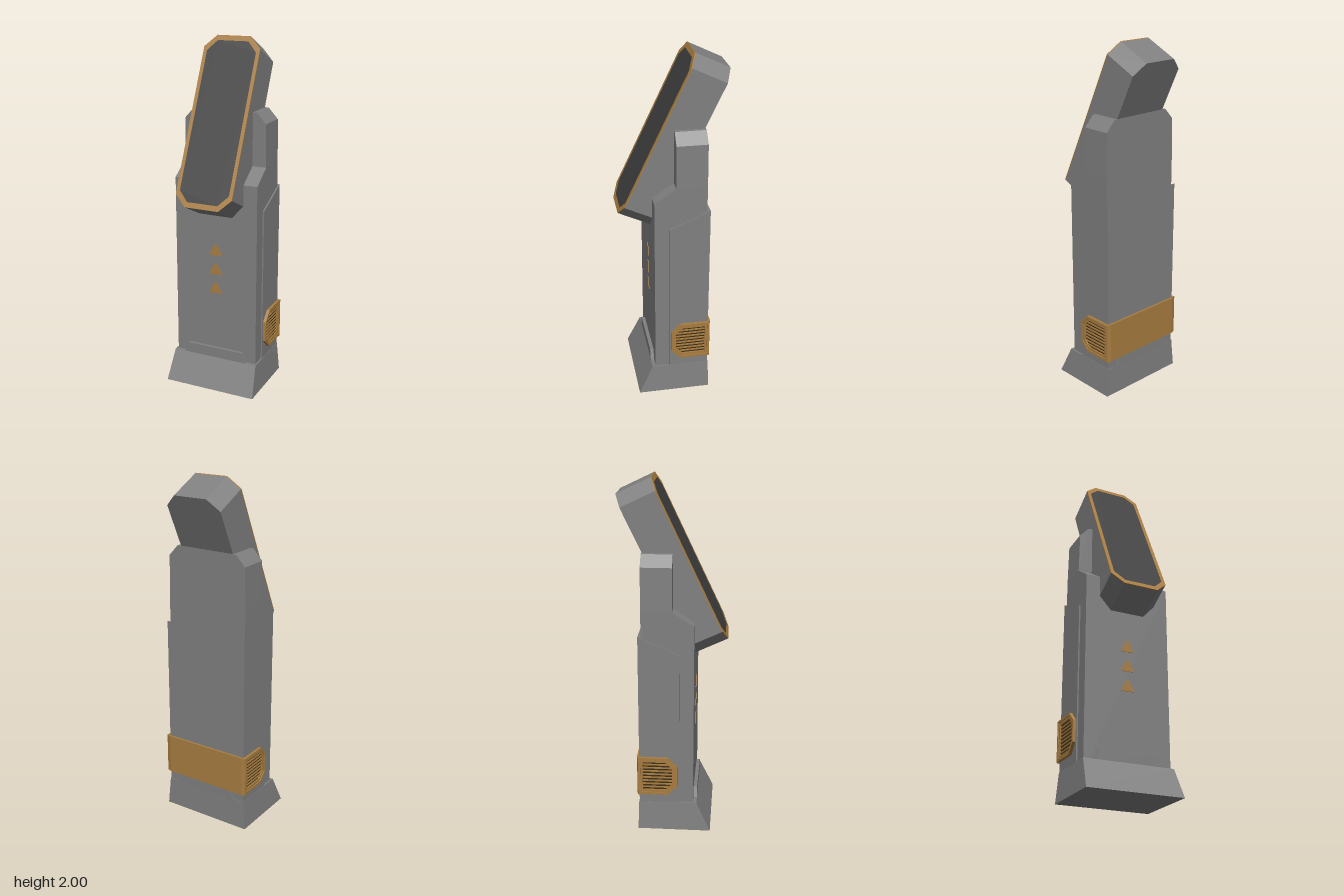
import * as THREE from 'three';

const mat = (name, color) => {
  const m = new THREE.MeshStandardMaterial({ color });
  m.name = name;
  return m;
};

const shapeOf = (points) => new THREE.Shape(points.map(([x, y]) => new THREE.Vector2(x, y)));

// Extrude a front-facing (x, y) outline between two depths
function slab(points, zBack, zFront, hole) {
  const shape = shapeOf(points);
  if (hole) shape.holes.push(shapeOf(hole));
  const geo = new THREE.ExtrudeGeometry(shape, { depth: zFront - zBack, bevelEnabled: false });
  return geo.translate(0, 0, zBack);
}

// Extrude a side (z, y) outline between two x positions
function sideSlab(points, x0, x1, hole) {
  return slab(points, -x1, -x0, hole).rotateY(-Math.PI / 2);
}

// Tall octagon with half sizes w, h and corner cuts cx, cy
const octagon = (w, h, cx, cy) => [
  [w - cx, -h], [w, -h + cy], [w, h - cy], [w - cx, h],
  [-w + cx, h], [-w, h - cy], [-w, -h + cy], [-w + cx, -h],
];

export function createModel() {
  const grey = mat('grey metal', 0x808080);
  const amber = mat('amber trim', 0xa87d40);
  const black = mat('dark screen', 0x404040);
  const brown = mat('dark vent', 0x3c2e18);

  const model = new THREE.Group();
  model.name = 'kiosk';
  const add = (name, geo, material, parent = model) => {
    const mesh = new THREE.Mesh(geo, material);
    mesh.name = name;
    parent.add(mesh);
    return mesh;
  };

  // Flared base
  const baseGeo = new THREE.BoxGeometry(1, 0.17, 1).toNonIndexed();
  const pos = baseGeo.attributes.position;
  for (let i = 0; i < pos.count; i++) {
    const top = pos.getY(i) > 0;
    const half = top ? 0.26 : 0.275;
    const front = top ? 0.15 : 0.23;
    const back = top ? -0.18 : -0.185;
    pos.setXYZ(i, Math.sign(pos.getX(i)) * half, top ? 0.17 : 0, pos.getZ(i) > 0 ? front : back);
  }
  baseGeo.computeVertexNormals();
  add('base', baseGeo, grey);

  // Raised tabs on the base, front and back
  const tab = [[-0.195, 0.165], [0.195, 0.165], [0.17, 0.23], [-0.17, 0.23]];
  add('frontTab', slab(tab, 0.12, 0.15), grey);
  add('backTab', slab(tab, -0.182, -0.16), grey);

  // Column, with a sloped ledge in front of the shoulders
  add('column', sideSlab(
    [[-0.16, 0.1], [0.13, 0.1], [0.13, 1.23], [0.01, 1.31], [-0.16, 1.31]], -0.25, 0.25), grey);
  add('shoulders', slab(
    [[-0.25, 1.31], [0.25, 1.31], [0.245, 1.55], [0.19, 1.61], [-0.19, 1.61], [-0.245, 1.55]],
    -0.16, 0.01), grey);

  // Shell wrapped around the back
  add('backShell', sideSlab(
    [[-0.177, 0.1], [0.05, 0.1], [0.05, 1.07], [-0.177, 1.17]], -0.258, 0.258), grey);

  // Tilted display head
  const head = new THREE.Group();
  head.name = 'head';
  head.position.set(0, 1.515, 0.005);
  head.rotation.x = -0.445;
  model.add(head);
  const outer = octagon(0.168, 0.487, 0.068, 0.068);
  const inner = octagon(0.147, 0.457, 0.056, 0.06);
  add('headShell', slab(outer, -0.105, 0.1), grey, head);
  add('screenFrame', slab(outer, 0.1, 0.106, inner), amber, head);
  add('screen', slab(inner, 0.1, 0.105), black, head);

  // Arrow marks up the front
  for (const y of [0.57, 0.685, 0.8]) {
    add('arrowMark', slab(
      [[-0.04, y], [0.04, y], [0.008, y + 0.063], [-0.008, y + 0.063]], 0.128, 0.133), amber);
  }

  // Amber band across the back, with tapered ends
  add('backBand', slab(
    [[-0.275, 0.17], [0.275, 0.17], [0.275, 0.183], [0.25, 0.19], [-0.25, 0.19], [-0.275, 0.183]],
    0.222, 0.455).rotateX(-Math.PI / 2).scale(1, 1, 1), amber);

  // Vents at both ends of the band
  const ventOuter = [[-0.183, 0.225], [-0.015, 0.225], [0.04, 0.28], [0.04, 0.4], [-0.015, 0.455], [-0.183, 0.455]];
  const ventMid = [[-0.17, 0.239], [-0.02, 0.239], [0.027, 0.286], [0.027, 0.394], [-0.02, 0.441], [-0.17, 0.441]];
  const ventInner = [[-0.157, 0.254], [-0.026, 0.254], [0.012, 0.292], [0.012, 0.388], [-0.026, 0.426], [-0.157, 0.426]];
  for (const side of [-1, 1]) {
    const span = (points, a, b, hole) =>
      side > 0 ? sideSlab(points, a, b, hole) : sideSlab(points, -b, -a, hole);
    add('ventRim', span(ventOuter, 0.25, 0.275, ventMid), amber);
    add('ventStep', span(ventMid, 0.25, 0.27, ventInner), amber);
    add('ventBack', span(ventMid, 0.25, 0.261), brown);
    for (let i = 0; i < 8; i++) {
      const y = 0.27 + i * 0.02;
      const front = 0.012 - Math.max(0, Math.abs(y - 0.34) - 0.048);
      const slat = [[-0.157, y - 0.004], [front, y - 0.004], [front, y + 0.004], [-0.157, y + 0.004]];
      add('ventSlat', span(slat, 0.26, 0.267), amber);
    }
  }
  return model;
}
